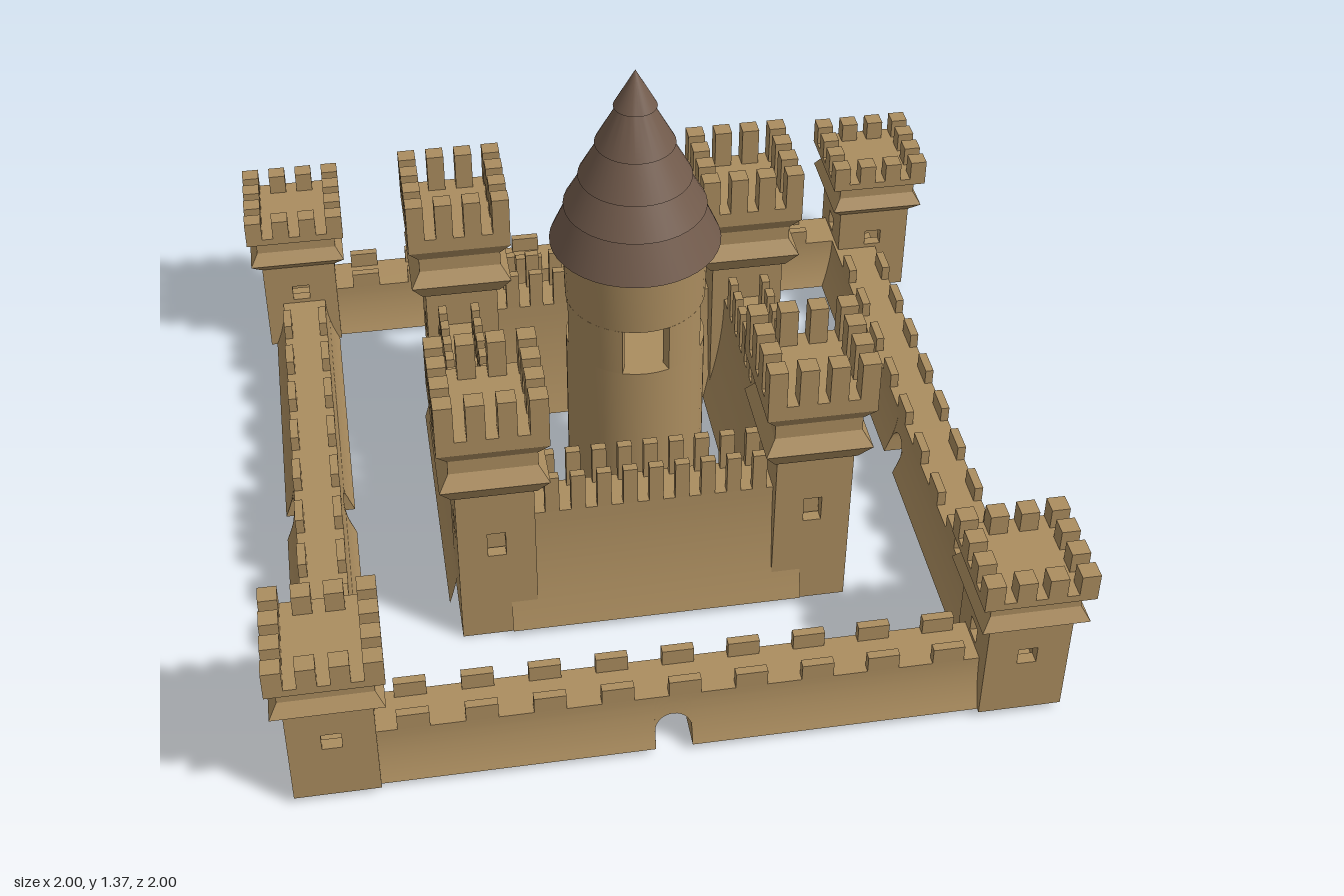
import * as THREE from 'three';
import { mergeGeometries, toCreasedNormals } from 'three/addons/utils/BufferGeometryUtils.js';

const stone = new THREE.MeshStandardMaterial({ color: 0xab8d5f });
stone.name = 'sandstone';
const tiles = new THREE.MeshStandardMaterial({ color: 0x725b4c });
tiles.name = 'brown roof tiles';

function add(parent, name, geometry, material = stone) {
  const mesh = new THREE.Mesh(geometry, material);
  mesh.name = name;
  parent.add(mesh);
  return mesh;
}

function boxAt(w, h, d, x, y, z) {
  return new THREE.BoxGeometry(w, h, d).translate(x, y, z);
}

function lathe(points, segments, crease) {
  const g = new THREE.LatheGeometry(points.map(([r, y]) => new THREE.Vector2(r, y)), segments);
  return toCreasedNormals(g, crease);
}

// Curtain wall along x: concave flared section, optionally cut by an arched gateway
function wallGeometry({ from, to, base, top, footHalf, topHalf, gate }) {
  const stations = [[from, base]];
  if (gate !== undefined) {
    const r = 0.045, spring = base + 0.045;
    stations.push([gate - r, base]);
    for (let i = 0; i <= 14; i++) {
      const a = Math.PI * (1 - i / 14);
      stations.push([gate + r * Math.cos(a), spring + r * Math.sin(a)]);
    }
    stations.push([gate + r, base]);
  }
  stations.push([to, base]);

  const n = 10;
  const rings = stations.map(([x, bottom]) => {
    const side = [];
    for (let i = 0; i <= n; i++) {
      const y = bottom + (top - bottom) * i / n;
      const t = (y - base) / (top - base);
      side.push([x, y, topHalf + (footHalf - topHalf) * (1 - t) ** 2]);
    }
    return [...side, ...side.slice().reverse().map(([px, py, pz]) => [px, py, -pz])];
  });
  const pos = [];
  for (let s = 0; s < rings.length - 1; s++) {
    for (let k = 0; k < rings[s].length; k++) {
      const k2 = (k + 1) % rings[s].length;
      const a = rings[s][k], b = rings[s + 1][k], c = rings[s + 1][k2], d = rings[s][k2];
      pos.push(...a, ...b, ...c, ...a, ...c, ...d);
    }
  }
  const g = new THREE.BufferGeometry();
  g.setAttribute('position', new THREE.Float32BufferAttribute(pos, 3));
  return toCreasedNormals(g, 0.5);
}

// Wall with a row of merlons on both edges
function wall(parent, name, x, z, alongZ, o) {
  const group = new THREE.Group();
  group.name = name;
  group.position.set(x, 0, z);
  if (alongZ) group.rotation.y = Math.PI / 2;
  add(group, 'wallBody', wallGeometry(o));
  const m = o.merlon, boxes = [];
  for (let i = 0; i < m.count; i++) {
    const mx = m.first + (m.last - m.first) * i / (m.count - 1);
    for (const s of [-1, 1]) {
      boxes.push(boxAt(m.width, m.height, 0.022, mx, o.top + m.height / 2, s * (o.topHalf - 0.011)));
    }
  }
  add(group, 'wallMerlons', mergeGeometries(boxes));
  parent.add(group);
}

// Square tower: four pierced panels, stepped crown, ring of merlons
function squareTower(parent, name, x, z, o) {
  const group = new THREE.Group();
  group.name = name;
  group.position.set(x, 0, z);
  const { half, base, bodyTop, win, crown, merlonHeight } = o;

  const face = new THREE.Shape();
  face.moveTo(-half, base).lineTo(half, base).lineTo(half, bodyTop).lineTo(-half, bodyTop).closePath();
  const hole = new THREE.Path();
  const w = win.width / 2;
  hole.moveTo(-w, win.low).lineTo(-w, win.high).lineTo(w, win.high).lineTo(w, win.low).closePath();
  face.holes.push(hole);
  const panels = [];
  for (let i = 0; i < 4; i++) {
    const g = new THREE.ExtrudeGeometry(face, { depth: 0.03, bevelEnabled: false });
    panels.push(g.translate(0, 0, half - 0.03).rotateY(i * Math.PI / 2));
  }
  add(group, 'towerBody', mergeGeometries(panels));
  add(group, 'towerFloor', boxAt(half * 1.9, 0.02, half * 1.9, 0, base + 0.0101, 0));
  if (o.core) add(group, 'towerCore', boxAt(half * 1.2, bodyTop - base, half * 1.2, 0, (bodyTop + base) / 2, 0));

  const r2 = Math.SQRT2;
  const top = crown[crown.length - 1];
  const profile = [[0, crown[0][1]], ...crown.map(([h, y]) => [h * r2, y]), [0, top[1]]];
  add(group, 'towerCrown', lathe(profile, 4, 0.1).rotateY(Math.PI / 4));

  const size = 0.046, edge = top[0] - size / 2, merlons = [];
  for (let i = 0; i < 4; i++) {
    for (let j = 0; j < 4; j++) {
      if (i % 3 && j % 3) continue;
      merlons.push(boxAt(size, merlonHeight, size,
        edge * (i * 2 / 3 - 1), top[1] + merlonHeight / 2, edge * (j * 2 / 3 - 1)));
    }
  }
  add(group, 'towerMerlons', mergeGeometries(merlons));
  parent.add(group);
}

// Round keep with four window openings and a tiered conical roof
function keep(parent) {
  const group = new THREE.Group();
  group.name = 'keep';
  group.position.set(0.003, 0, 0.03);
  const R = 0.18, inner = 0.148, low = 0.575, high = 0.71;
  add(group, 'keepLower', lathe([[0, 0.01], [R, 0.01], [R, low], [0, low]], 40, 0.5));
  add(group, 'keepUpper', lathe([[0, high], [R, high], [0.185, 0.89], [0, 0.89]], 40, 0.5));

  // Window centres measured from +x towards +z; side windows are slightly offset
  const centres = [0.2, Math.PI / 2, Math.PI + 0.2, Math.PI * 1.5, Math.PI * 2 + 0.2];
  const halfWin = 0.34;
  const piers = [];
  for (let i = 0; i < 4; i++) {
    const a = centres[i] + halfWin, b = centres[i + 1] - halfWin;
    const s = new THREE.Shape();
    s.absarc(0, 0, R, a, b, false);
    s.absarc(0, 0, inner, b, a, true);
    const g = new THREE.ExtrudeGeometry(s, { depth: high - low, bevelEnabled: false, curveSegments: 8 });
    piers.push(toCreasedNormals(g.rotateX(Math.PI / 2).translate(0, high, 0), 0.5));
  }
  add(group, 'keepWindowPiers', mergeGeometries(piers));

  const levels = [0.88, 0.985, 1.07, 1.165, 1.27, 1.37];
  const cone = y => 0.217 * (1.37 - y) / 0.49;
  for (let i = 0; i < 5; i++) {
    const lip = i ? 0.01 : 0;
    const points = [[0, levels[i]], [cone(levels[i]) + lip, levels[i]],
      [cone(levels[i + 1]), levels[i + 1]]];
    if (i < 4) points.push([0, levels[i + 1]]);
    add(group, 'roofTier', lathe(points, 40, 0.5), tiles);
  }
  parent.add(group);
}

export function createModel() {
  const castle = new THREE.Group();
  castle.name = 'castle';

  // Outer ring
  const outerTower = {
    half: 0.104, base: 0.02, bodyTop: 0.305, win: { low: 0.18, high: 0.228, width: 0.048 },
    crown: [[0.106, 0.3], [0.133, 0.33], [0.112, 0.365], [0.112, 0.395], [0.1375, 0.41], [0.1375, 0.43]],
    merlonHeight: 0.057,
  };
  for (const [x, z] of [[-0.8625, -0.8625], [0.8625, -0.8625], [-0.8625, 0.8625], [0.812, 0.8625]]) {
    squareTower(castle, 'outerTower', x, z, outerTower);
  }
  const outerWall = {
    from: -0.83, to: 0.83, base: 0.02, top: 0.168, footHalf: 0.093, topHalf: 0.061, gate: -0.05,
    merlon: { first: -0.67, last: 0.63, count: 9, width: 0.078, height: 0.045 },
  };
  wall(castle, 'outerFrontWall', 0, 0.862, false, { ...outerWall, to: 0.78 });
  wall(castle, 'outerBackWall', 0, -0.867, false, outerWall);
  wall(castle, 'outerRightWall', -0.857, 0, true, { ...outerWall, gate: -0.04 });
  wall(castle, 'outerLeftWall', 0.812, 0, true, { ...outerWall, gate: -0.04 });

  // Inner ring
  const innerTower = {
    half: 0.098, base: 0, bodyTop: 0.49, win: { low: 0.275, high: 0.35, width: 0.046 }, core: true,
    crown: [[0.105, 0.485], [0.135, 0.535], [0.11, 0.575], [0.11, 0.615], [0.137, 0.655], [0.137, 0.697]],
    merlonHeight: 0.107,
  };
  for (const [x, z] of [[-0.42, -0.42], [0.375, -0.41], [-0.42, 0.395], [0.383, 0.395]]) {
    squareTower(castle, 'innerTower', x, z, innerTower);
  }
  const innerWall = {
    from: -0.39, to: 0.36, base: 0.02, top: 0.375, footHalf: 0.108, topHalf: 0.055,
    merlon: { first: -0.275, last: 0.25, count: 9, width: 0.036, height: 0.11 },
  };
  wall(castle, 'innerFrontWall', 0, 0.407, false, innerWall);
  wall(castle, 'innerBackWall', 0, -0.423, false, innerWall);
  wall(castle, 'innerRightWall', -0.434, 0, true, innerWall);
  wall(castle, 'innerLeftWall', 0.367, 0, true, innerWall);

  keep(castle);
  return castle;
}
